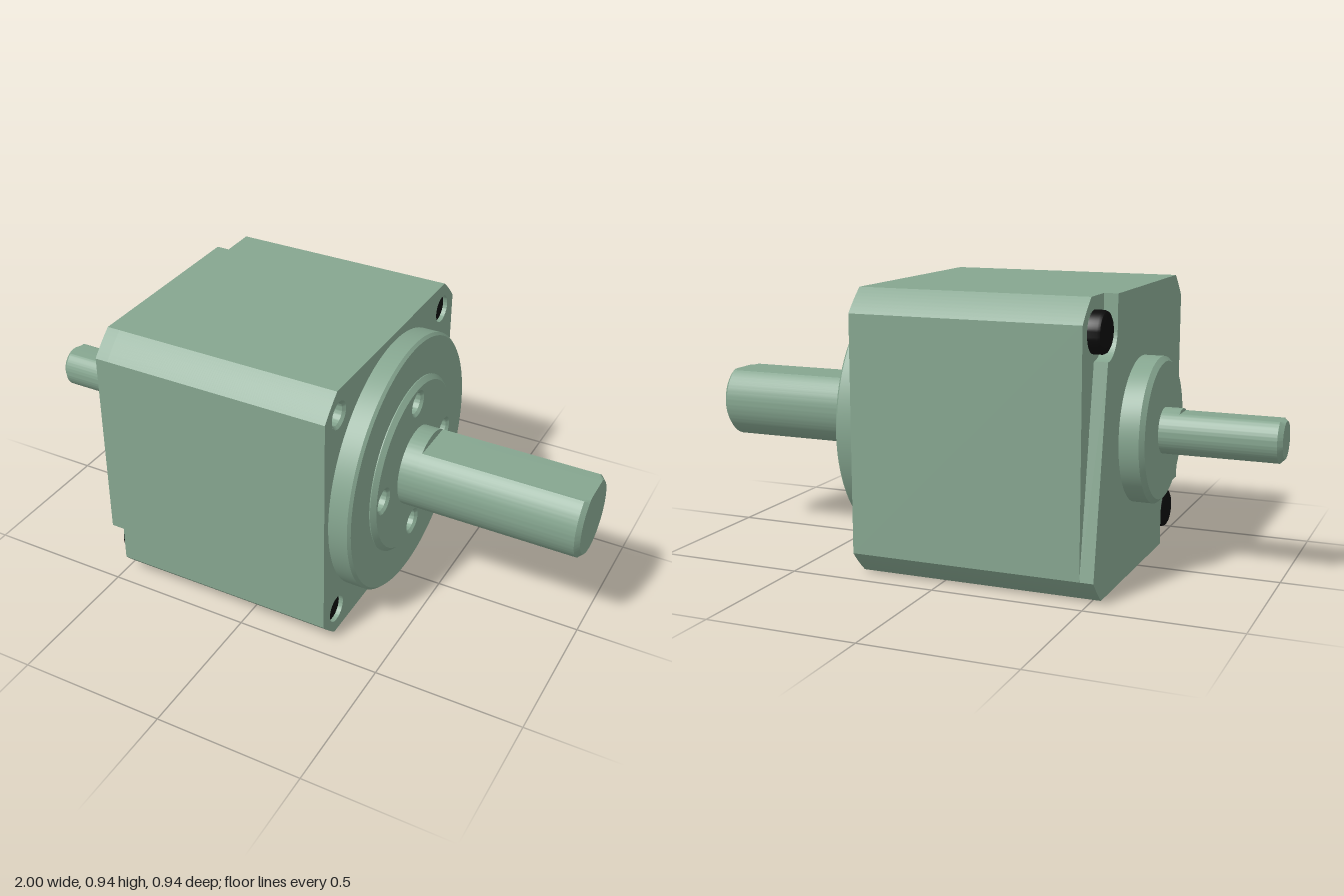
import * as THREE from 'three';
import { toCreasedNormals } from 'three/addons/utils/BufferGeometryUtils.js';

const H = 0.468;          // half width of the square housing
const CORNER_R = 0.61;    // radius that trims its corners
const BOLT = 0.378;       // corner hole offset
const REAR = -0.525, STEP = -0.48, FRONT = 0.295, FACE = 0.387;

const green = new THREE.MeshStandardMaterial({ color: 0x85a58f });
const black = new THREE.MeshStandardMaterial({ color: 0x0c0c0c });

function addMesh(parent, name, geometry, material = green) {
  const mesh = new THREE.Mesh(toCreasedNormals(geometry, Math.PI / 6), material);
  mesh.name = name;
  parent.add(mesh);
  return mesh;
}

// Turned part along x; profile is [radius, distance], dir = 1 points to +x, -1 to -x
function turned(profile, dir = 1, segments = 96) {
  const points = profile.map(([r, d]) => new THREE.Vector2(r, d));
  return new THREE.LatheGeometry(points, segments).rotateZ(-dir * Math.PI / 2);
}

// Shaft with a chamfered end and a milled flat on top
function flattedShaft(r, start, flatStart, flat, dir) {
  const bevel = 0.015;
  const geo = turned([
    [r, start], [r, flatStart], [r, flatStart], [r, 1 - bevel], [r - bevel, 1], [0, 1],
  ], dir, 128);
  const pos = geo.attributes.position;
  for (let i = 0; i < pos.count; i++) {
    // skip the first two rings, which stay fully round
    if (i % 6 > 1 && pos.getY(i) > flat) pos.setY(i, flat);
  }
  return geo;
}

// Square outline with arc-trimmed corners; shape x is -z of the model
function outline(pockets) {
  const shape = new THREE.Shape();
  const a = Math.acos(H / CORNER_R);
  for (let k = 0; k < 4; k++) {
    const turn = k * Math.PI / 2;
    if (pockets && k % 2 === 0) {
      const s = k === 0 ? 1 : -1;
      if (k === 0) shape.moveTo(H, 0.27);
      else shape.lineTo(-H, -0.27);
      shape.absarc(s * 0.36, s * 0.36, 0.09, turn - Math.PI / 2, turn - Math.PI, true);
      shape.lineTo(s * 0.27, s * H);
    } else {
      shape.absarc(0, 0, CORNER_R, turn + a, turn + Math.PI / 2 - a, false);
    }
  }
  shape.closePath();
  return shape;
}

function circleHole(shape, x, y, r) {
  shape.holes.push(new THREE.Path().absarc(x, y, r, 0, Math.PI * 2, true));
}

function slab(shape, x0, x1) {
  return new THREE.ExtrudeGeometry(shape, { depth: x1 - x0, bevelEnabled: false, curveSegments: 40 })
    .rotateY(Math.PI / 2).translate(x0, 0, 0);
}

// Countersunk blind hole lining with a drilled cone at the bottom
function blindHole(parent, name, x, y, z) {
  const geo = turned([[0.046, 0], [0.037, -0.009], [0.037, -0.12], [0, -0.142]], 1, 40);
  addMesh(parent, name, geo).position.set(x, y, z);
}

export function createModel() {
  const model = new THREE.Group();
  model.name = 'gearbox';
  const unit = new THREE.Group();
  unit.name = 'gearboxUnit';
  unit.position.y = H;
  model.add(unit);

  // Housing: main block plus a rear plate with two corner pockets
  const block = outline(false);
  circleHole(block, 0, 0, 0.4);
  for (const sx of [-1, 1]) for (const sy of [-1, 1]) circleHole(block, sx * BOLT, sy * BOLT, 0.046);
  addMesh(unit, 'housing', slab(block, STEP, FRONT));
  addMesh(unit, 'rearPlate', slab(outline(true), REAR, STEP));

  // Output flange with its raised boss
  addMesh(unit, 'outputFlange', turned([
    [0.442, FRONT], [0.442, 0.36], [0.433, 0.369], [0.305, 0.369], [0.305, 0.372], [0.29, FACE],
  ], 1, 128));
  const face = new THREE.Shape().absarc(0, 0, 0.29, 0, Math.PI * 2, false);
  for (let k = 0; k < 4; k++) {
    const t = k * Math.PI / 2, u = 0.236 * Math.cos(t), v = 0.236 * Math.sin(t);
    circleHole(face, u, v, 0.046);
    blindHole(unit, 'flangeHole', FACE, v, -u);
  }
  addMesh(unit, 'flangeFace',
    new THREE.ShapeGeometry(face, 64).rotateY(Math.PI / 2).translate(FACE, 0, 0));

  // Rear pilot
  addMesh(unit, 'rearPilot', turned([
    [0.241, -REAR], [0.241, 0.59], [0.226, 0.605], [0, 0.605],
  ], -1));

  // Shafts
  addMesh(unit, 'outputShaft', flattedShaft(0.136, FACE, 0.445, 0.109, 1));
  addMesh(unit, 'inputShaft', flattedShaft(0.076, 0.605, 0.665, 0.064, -1));

  // Corner fixings: two blind holes and two through screws
  for (const s of [-1, 1]) {
    blindHole(unit, 'cornerHole', FRONT, s * BOLT, s * BOLT);
    addMesh(unit, 'screwShank', turned([[0.0455, STEP], [0.0455, 0.28], [0, 0.28]], 1, 40), black)
      .position.set(0, s * BOLT, -s * BOLT);
    addMesh(unit, 'screwHead', turned([
      [0.067, -STEP], [0.067, 0.51], [0.063, 0.519], [0.054, 0.524], [0, 0.524],
    ], -1, 48), black).position.set(0, s * 0.36, -s * 0.36);
  }
  return model;
}
